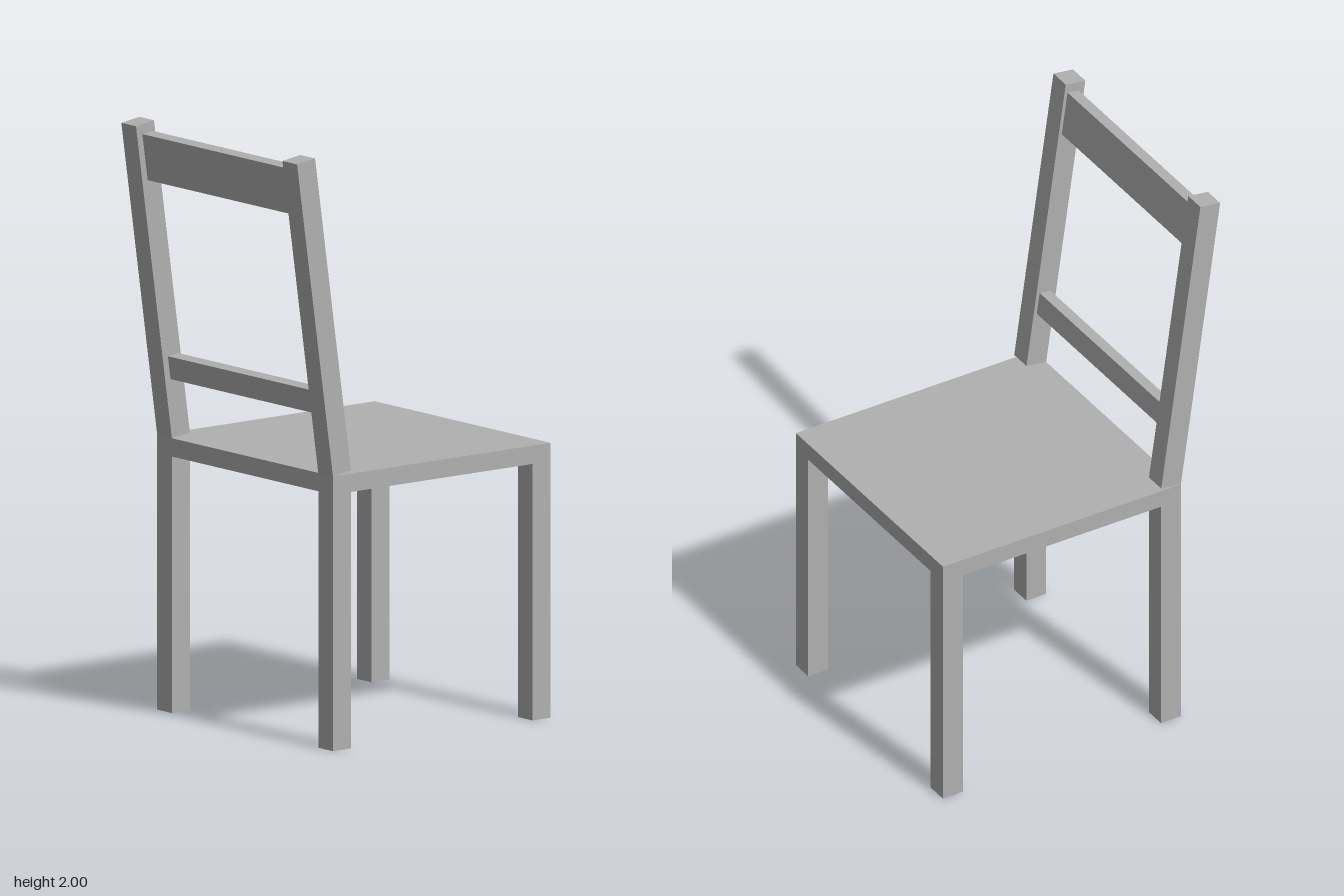
import * as THREE from 'three';

export function createModel() {
  const model = new THREE.Group();
  model.name = 'chair';
  const grey = new THREE.MeshStandardMaterial({ color: 0xb0b0b0 });
  grey.name = 'plain grey';

  // Box given by its minimum and maximum corners
  function box(name, parent, min, max) {
    const size = max.map((v, i) => v - min[i]);
    const mesh = new THREE.Mesh(new THREE.BoxGeometry(...size), grey);
    mesh.position.set(...max.map((v, i) => (v + min[i]) / 2));
    mesh.name = name;
    parent.add(mesh);
  }

  const half = 0.4615, beam = 0.077, inner = half - beam;
  const seatTop = 0.923, seatBottom = 0.8615;
  const zMin = -0.537, zMax = 0.385;

  // Seat
  box('seat', model, [-half, seatBottom, zMin], [half, seatTop, zMax]);

  // Backrest frame, hinged on the rear edge of the seat and leaning outwards
  const backrest = new THREE.Group();
  backrest.name = 'backrest';
  backrest.position.set(0, seatTop, zMax);
  backrest.rotation.x = 0.1415;
  model.add(backrest);

  for (const [side, x] of [['left', inner], ['right', -half]]) {
    // Legs
    box(side + 'LegBesideBackrest', model, [x, 0, zMax - beam], [x + beam, seatBottom, zMax]);
    box(side + 'LegAtOpenEdge', model, [x, 0, zMin], [x + beam, seatBottom, zMin + beam]);
    // Backrest posts
    box(side + 'BackrestPost', backrest, [x, 0, -beam], [x + beam, 1.077, 0]);
  }

  // Rails between the posts
  box('lowerRail', backrest, [-inner, 0.198, -0.065], [inner, 0.277, -0.0225]);
  box('upperRail', backrest, [-inner, 0.885, -0.065], [inner, 1.044, -0.0225]);

  return model;
}
